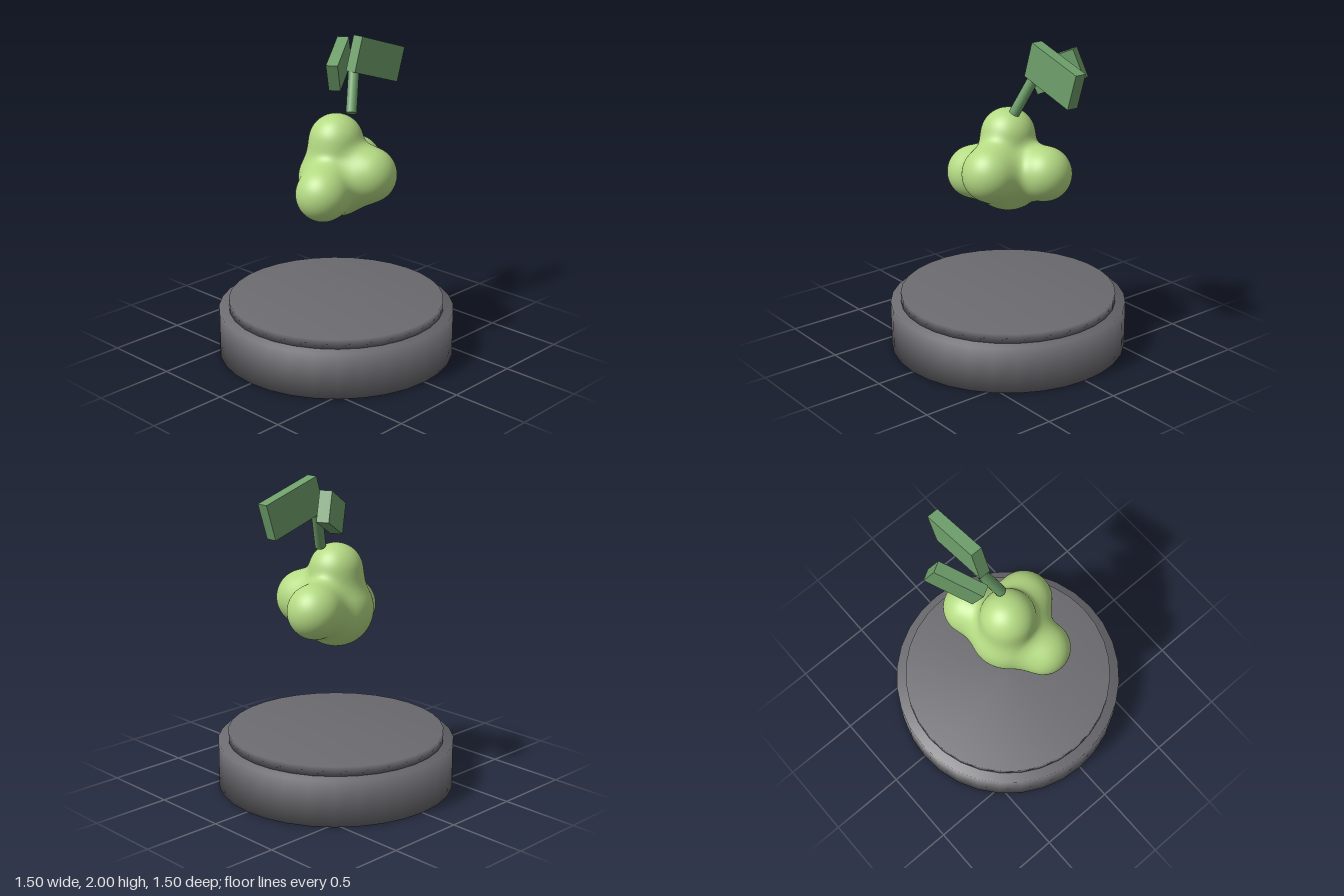
import * as THREE from 'three';
import { mergeVertices } from 'three/addons/utils/BufferGeometryUtils.js';

const material = (color) => new THREE.MeshStandardMaterial({ color });
const STONE = material(0x6b6b70);
const LIME = material(0xb4da83);
const LEAF = material(0x6fa06b);

// Weld all vertices so the shading runs smoothly over the whole surface
function smooth(geometry) {
  geometry.deleteAttribute('normal');
  geometry.deleteAttribute('uv');
  const welded = mergeVertices(geometry, 1e-4);
  welded.computeVertexNormals();
  return welded;
}

function add(group, name, geometry, mat, position = [0, 0, 0], rotation = [0, 0, 0]) {
  const mesh = new THREE.Mesh(geometry, mat);
  mesh.name = name;
  mesh.position.set(...position);
  mesh.rotation.set(...rotation);
  group.add(mesh);
  return mesh;
}

// Lobes of the body: centre x, y, z and radius
const LOBES = [
  [0, 1.14, 0, 0.235],
  [0, 1.385, 0, 0.17],
  [-0.218, 1.11, 0.1, 0.168],
  [0.255, 1.18, -0.08, 0.17],
  [0.08, 1.19, 0.2, 0.175],
].map(([x, y, z, r]) => ({ centre: new THREE.Vector3(x, y, z), r }));

// Distance to the lobes, softly blended where they meet
function blendedDistance(p) {
  const k = 0.09;
  return LOBES.reduce((d, { centre, r }) => {
    const e = p.distanceTo(centre) - r;
    const h = Math.max(k - Math.abs(d - e), 0) / k;
    return Math.min(d, e) - h * h * k / 4;
  }, 10);
}

// Push each point of a sphere out to the blended surface
function bodyGeometry() {
  const geometry = smooth(new THREE.IcosahedronGeometry(1, 28));
  const points = geometry.attributes.position;
  const origin = new THREE.Vector3(0.01, 1.18, 0.02);
  const dir = new THREE.Vector3();
  const p = new THREE.Vector3();
  for (let i = 0; i < points.count; i++) {
    dir.fromBufferAttribute(points, i).normalize();
    let inside = 0, outside = 0.7;
    for (let step = 0; step < 24; step++) {
      const mid = (inside + outside) / 2;
      p.copy(origin).addScaledVector(dir, mid);
      if (blendedDistance(p) < 0) inside = mid;
      else outside = mid;
    }
    points.setXYZ(i, p.x, p.y, p.z);
  }
  geometry.computeVertexNormals();
  return geometry;
}

export function createModel() {
  const model = new THREE.Group();
  model.name = 'potlessSprout';

  // Round base with a slightly narrower top plate
  add(model, 'base', smooth(new THREE.CylinderGeometry(0.75, 0.75, 0.295, 32)), STONE, [0, 0.1475, 0]);
  add(model, 'topPlate', smooth(new THREE.CylinderGeometry(0.685, 0.685, 0.06, 32)), STONE, [0, 0.325, 0]);

  // Floating lobed body
  add(model, 'body', bodyGeometry(), LIME);

  // Leaning stem
  const foot = new THREE.Vector3(0.1, 1.545, 0.033);
  const tip = new THREE.Vector3(0.205, 1.79, -0.045);
  const along = tip.clone().sub(foot);
  const stem = add(model, 'stem', new THREE.CylinderGeometry(0.034, 0.034, along.length(), 16), LEAF,
    foot.clone().add(tip).multiplyScalar(0.5).toArray());
  stem.quaternion.setFromUnitVectors(new THREE.Vector3(0, 1, 0), along.normalize());

  // Two slab leaves
  add(model, 'largeLeaf', new THREE.BoxGeometry(0.414, 0.226, 0.075), LEAF, [0.392, 1.83, -0.033], [0, 0, -0.306]);
  add(model, 'smallLeaf', new THREE.BoxGeometry(0.32, 0.19, 0.075), LEAF, [0.228, 1.8, -0.195], [0, 0.52, 0.4]);

  return model;
}
